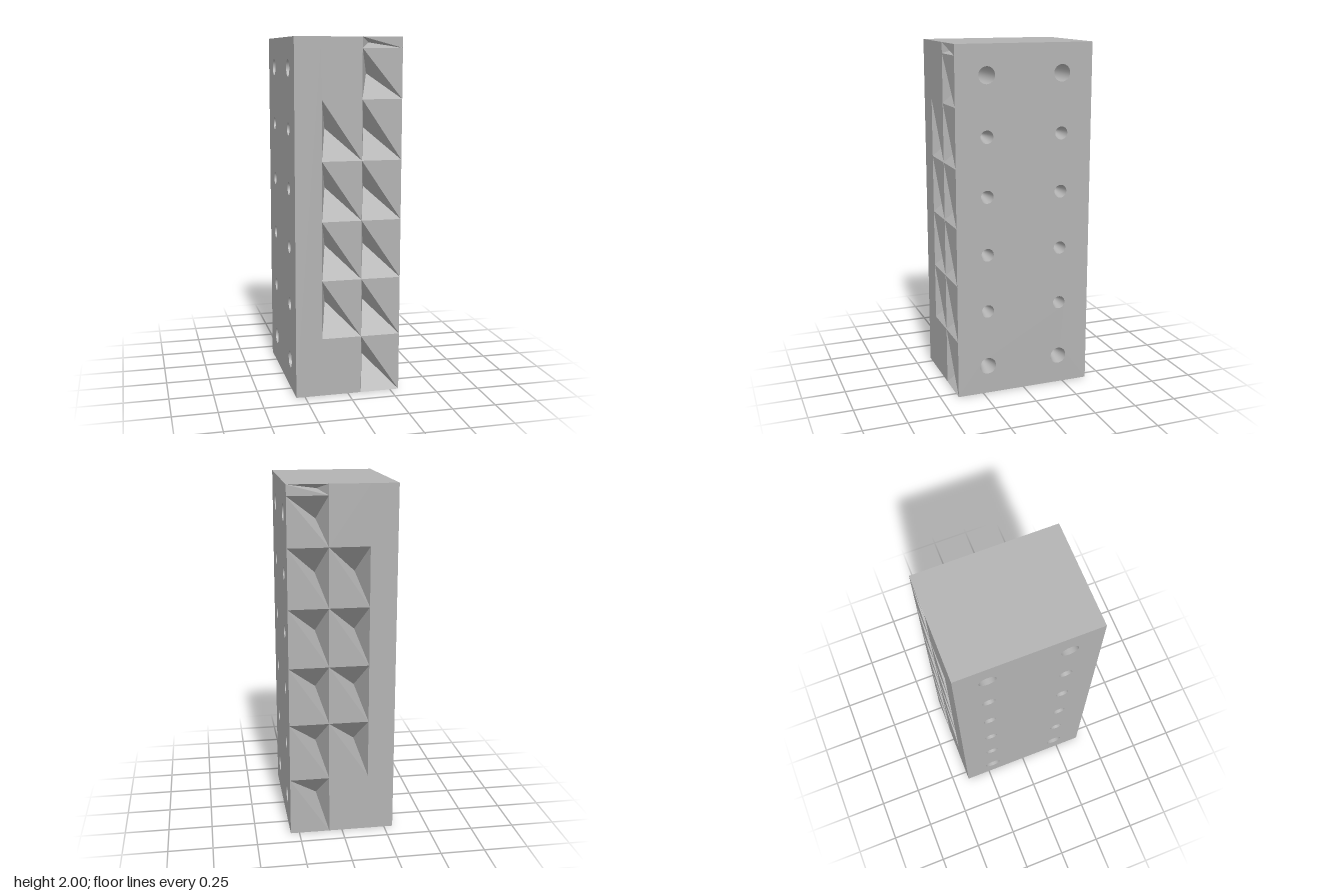
import * as THREE from 'three';

const W = 0.3, H = 2, D = 0.4;            // half width, height, half depth
const X0 = -0.15, X1 = 0.075, X2 = 0.3;   // pit column edges
const ROW = 1 / 3, HOLE_Z = 0.22, APEX = 0.055;

export function createModel() {
  const group = new THREE.Group();
  const grey = new THREE.MeshStandardMaterial({ color: 0xb3b3b3 });
  grey.name = 'grey';
  const bore = new THREE.MeshStandardMaterial({ color: 0xb3b3b3, side: THREE.BackSide });
  bore.name = 'grey bore';

  const add = (name, geometry, material = grey) => {
    const mesh = new THREE.Mesh(geometry, material);
    mesh.name = name;
    group.add(mesh);
    return mesh;
  };

  // One long face: flat border plus two columns of three-sided pits
  const pittedFace = (name, rightRows) => {
    const p = [];
    const tri = (...corners) => corners.forEach((c) => p.push(...c));
    const rect = (xa, xb, ya, yb) => {
      tri([xa, ya, D], [xb, ya, D], [xb, yb, D]);
      tri([xa, ya, D], [xb, yb, D], [xa, yb, D]);
    };
    const cell = (xa, xb, ya, yb, depth) => {
      const a = [xa, yb, D], b = [xb, ya, D], c = [xa, ya, D], d = [xb, yb, D];
      const apex = [xa + APEX, (ya + yb) / 2, D - depth];
      tri(a, b, d);       // flat half
      tri(a, c, apex);    // side wall
      tri(c, b, apex);    // ledge
      tri(b, a, apex);    // sloping wall
    };
    rect(-W, X0, 0, H);
    rect(X0, X1, 0, ROW);
    rect(X0, X1, H - ROW, H);
    for (let i = 1; i < 5; i++) cell(X0, X1, i * ROW, (i + 1) * ROW, D - HOLE_Z);
    rightRows.forEach(([ya, yb, depth]) => cell(X1, X2, ya, yb, depth));
    const g = new THREE.BufferGeometry();
    g.setAttribute('position', new THREE.Float32BufferAttribute(p, 3));
    g.computeVertexNormals();
    return add(name, g);
  };

  const deep = D - HOLE_Z;
  const full = (i) => [i * ROW, (i + 1) * ROW, deep];
  pittedFace('frontFace', [0, 1, 2, 3, 4].map(full)
    .concat([[5 * ROW, 1.94, 0.13], [1.94, 2, 0.08]]));
  // The back is the same face turned half a turn about the x axis
  const back = pittedFace('backFace', [1, 2, 3, 4, 5].map(full)
    .concat([[0, 0.06, 0.08], [0.06, ROW, 0.13]]));
  back.rotation.x = Math.PI;
  back.position.y = H;

  // Side faces with two columns of round holes
  const radius = (i) => (i === 0 || i === 5 ? 0.048 : 0.037);
  const side = new THREE.Shape([[-D, 0], [D, 0], [D, H], [-D, H]]
    .map(([x, y]) => new THREE.Vector2(x, y)));
  for (let i = 0; i < 6; i++) {
    for (const z of [-HOLE_Z, HOLE_Z]) {
      side.holes.push(new THREE.Path().absarc(z, (i + 0.5) * ROW, radius(i), 0, Math.PI * 2, true));
    }
  }
  for (const s of [-1, 1]) {
    add(s > 0 ? 'leftSide' : 'rightSide',
      new THREE.ShapeGeometry(side, 12).rotateY(s * Math.PI / 2).translate(s * W, 0, 0));
  }

  // Bores: tapered ones end at the pits, the top pair runs right through
  const addBore = (s, i, z, tip) => {
    const through = i === 5;
    const inner = through ? -W : tip;
    const length = Math.abs(s * W - inner);
    const g = new THREE.CylinderGeometry(radius(i), through ? radius(i) : 0.002, length, 24, 1, true);
    g.rotateZ(-s * Math.PI / 2).translate((s * W + inner) / 2, (i + 0.5) * ROW, z);
    add(through ? 'throughBore' : 'taperedBore', g, bore);
  };
  for (let i = 0; i < 6; i++) {
    for (const z of [-HOLE_Z, HOLE_Z]) {
      addBore(1, i, z, X1 + APEX);
      if (i < 5) addBore(-1, i, z, (i === 0 ? X1 : X0) + APEX);
    }
  }

  // End caps
  add('topFace', new THREE.PlaneGeometry(2 * W, 2 * D).rotateX(-Math.PI / 2).translate(0, H, 0));
  add('bottomFace', new THREE.PlaneGeometry(2 * W, 2 * D).rotateX(Math.PI / 2));
  return group;
}
